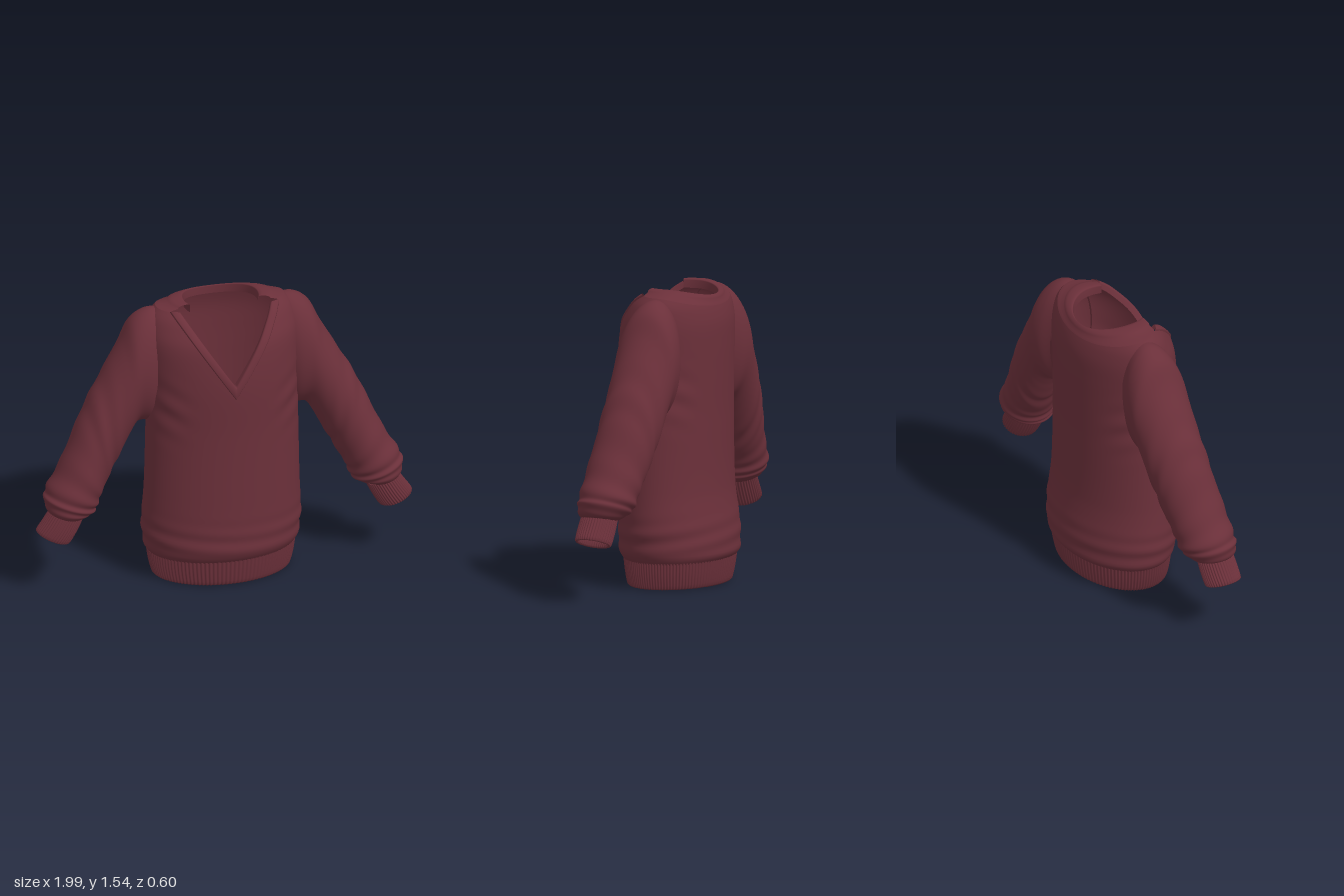
import * as THREE from 'three';
import { mergeVertices } from 'three/addons/utils/BufferGeometryUtils.js';

const TAU = Math.PI * 2;
const bell = (x, c, w) => Math.exp(-(((x - c) / w) ** 2));

// Smooth interpolation of table rows [t, a, b, c, ...]
function sample(rows, t) {
  const n = rows.length - 1;
  t = Math.min(Math.max(t, rows[0][0]), rows[n][0]);
  let i = 0;
  while (i < n - 1 && t > rows[i + 1][0]) i++;
  const p = rows[i], q = rows[i + 1], o = rows[Math.max(i - 1, 0)], r = rows[Math.min(i + 2, n)];
  const h = q[0] - p[0], s = (t - p[0]) / h;
  return p.slice(1).map((a, j) => {
    const k = j + 1, b = q[k];
    const ma = (b - o[k]) / (q[0] - o[0]) * h, mb = (r[k] - a) / (r[0] - p[0]) * h;
    return a + s * ma + s * s * (3 * (b - a) - 2 * ma - mb) + s * s * s * (2 * (a - b) + ma + mb);
  });
}

// Smooth surface from point(u, v), both 0..1
function grid(nu, nv, point, flip = false) {
  const pos = [], index = [];
  for (let j = 0; j <= nv; j++)
    for (let i = 0; i <= nu; i++) pos.push(...point(i / nu, j / nv));
  for (let j = 0; j < nv; j++)
    for (let i = 0; i < nu; i++) {
      const a = j * (nu + 1) + i, b = a + 1, c = a + nu + 1, d = c + 1;
      if (flip) index.push(a, b, c, b, d, c);
      else index.push(a, c, b, b, c, d);
    }
  let geo = new THREE.BufferGeometry();
  geo.setAttribute('position', new THREE.Float32BufferAttribute(pos, 3));
  geo.setIndex(index);
  geo = mergeVertices(geo, 1e-5);
  geo.computeVertexNormals();
  return geo;
}

// Torso sections: height, half width, front z, back z
const TORSO = [
  [0.13, 0.383, 0.25, -0.265], [0.16, 0.403, 0.272, -0.288], [0.2, 0.41, 0.283, -0.29],
  [0.3, 0.418, 0.283, -0.285], [0.5, 0.408, 0.283, -0.258], [0.85, 0.4, 0.285, -0.252],
  [1.1, 0.395, 0.293, -0.256], [1.25, 0.4, 0.284, -0.258], [1.36, 0.4, 0.262, -0.255],
  [1.44, 0.385, 0.215, -0.238], [1.48, 0.367, 0.184, -0.22], [1.51, 0.34, 0.149, -0.2],
];
const TOP = 1.51, V_TIP = 1.08, V_HALF = 0.29;

function torsoPoint(a, y) {
  const [w, f, b] = sample(TORSO, y);
  const c = Math.cos(a), s = Math.sin(a);
  const fold = 0.012 * Math.sin(y * 62 + 2.2 * c + 1.5 * s) * bell(y, 0.25, 0.09)
    + 0.012 * Math.sin(y * 45 - 9 * Math.abs(c)) * bell(y, 1.0, 0.14) * bell(Math.abs(c), 0.8, 0.2);
  const k = 1 + fold;
  return [w * c * k, y, (f + b) / 2 + (f - b) / 2 * s * k];
}
function frontZ(x, y) {
  const [w, f, b] = sample(TORSO, y);
  return (f + b) / 2 + (f - b) / 2 * Math.sqrt(Math.max(0, 1 - (x / w) ** 2));
}
// Height where the torso ends: the V in front, a shallow scoop behind
function neckHeight(a) {
  const s = Math.sin(a), c = Math.abs(Math.cos(a));
  if (s < 0) return TOP - 0.06 * s * s;
  const outside = (y) => sample(TORSO, y)[0] * c > V_HALF * (y - V_TIP) / (TOP - V_TIP);
  if (outside(TOP)) return TOP;
  let lo = V_TIP, hi = TOP;
  for (let i = 0; i < 24; i++) {
    const m = (lo + hi) / 2;
    if (outside(m)) lo = m; else hi = m;
  }
  return lo;
}

// Sleeve sections: t, upper x, upper y, lower x, lower y, centre z, half depth
const SLEEVE = [
  [0, 0.30, 1.5, 0.35, 0.9, -0.03, 0.13], [1, 0.39, 1.5, 0.39, 0.88, -0.03, 0.16],
  [2, 0.47, 1.447, 0.45, 0.875, -0.03, 0.167], [3, 0.53, 1.33, 0.495, 0.81, -0.025, 0.163],
  [4, 0.61, 1.19, 0.535, 0.73, -0.02, 0.16], [5, 0.69, 1.05, 0.58, 0.65, -0.01, 0.155],
  [6, 0.755, 0.92, 0.615, 0.58, 0, 0.152], [7, 0.84, 0.73, 0.65, 0.52, 0.02, 0.15],
  [8, 0.925, 0.58, 0.67, 0.47, 0.03, 0.148], [9, 0.95, 0.52, 0.69, 0.435, 0.04, 0.138],
  [10, 0.94, 0.46, 0.73, 0.42, 0.052, 0.115], [11, 0.918, 0.44, 0.772, 0.405, 0.058, 0.088],
];
// Cuff sections, turning inside at the wrist
const CUFF = [
  [0, 0.92, 0.455, 0.755, 0.405, 0.058, 0.094], [1, 0.96, 0.395, 0.79, 0.335, 0.06, 0.096],
  [2, 0.995, 0.345, 0.826, 0.277, 0.06, 0.092], [2.3, 0.99, 0.338, 0.838, 0.275, 0.06, 0.085],
  [2.6, 0.978, 0.347, 0.838, 0.288, 0.06, 0.078], [4, 0.925, 0.425, 0.785, 0.38, 0.058, 0.075],
];
function armPoint(rows, t, a, side, k) {
  const [tx, ty, bx, by, z, r] = sample(rows, t);
  const c = Math.cos(a) * k / 2;
  return [side * ((tx + bx) / 2 + (tx - bx) * c), (ty + by) / 2 + (ty - by) * c, z + r * Math.sin(a) * k];
}
const rib = (u, n) => Math.abs(Math.sin(u * n * Math.PI)) - 0.5;

// Hem sections, turning inside at the bottom: t, half width, y, front z, back z
const HEM = [
  [0, 0.388, 0.14, 0.256, -0.27], [1, 0.378, 0.07, 0.248, -0.26], [2, 0.362, 0.008, 0.238, -0.247],
  [2.3, 0.355, 0, 0.231, -0.24], [2.6, 0.347, 0.008, 0.223, -0.232], [4, 0.368, 0.14, 0.238, -0.25],
];

// Raised trim profiles: fraction across, raise
const V_TRIM = [[0, -0.004], [0.05, 0.008], [0.12, 0.012], [0.5, 0.014], [0.85, 0.012], [0.97, 0.007], [1, 0], [1, -0.03]];
const COLLAR = [[0, 0], [0.15, 0.003], [0.4, 0.003], [0.46, 0.011], [0.6, 0.014], [0.85, 0.012], [0.97, 0.006], [1, 0], [1.01, -0.04]];

export function createModel() {
  const group = new THREE.Group();
  group.name = 'sweater';
  const wool = new THREE.MeshStandardMaterial({ color: 0x6b303a, side: THREE.DoubleSide });
  wool.name = 'burgundy wool';
  const add = (name, geo) => {
    const mesh = new THREE.Mesh(geo, wool);
    mesh.name = name;
    group.add(mesh);
  };

  add('torso', grid(160, 90, (u, v) => {
    const a = u * TAU;
    return torsoPoint(a, 0.13 + v * (neckHeight(a) - 0.13));
  }));

  add('ribbedHem', grid(540, 14, (u, v) => {
    const [w, y, f, b] = sample(HEM, 4 * (1 - v));
    const a = u * TAU, k = 1 + 0.022 * rib(u, 108);
    return [w * Math.cos(a) * k, y, (f + b) / 2 + (f - b) / 2 * Math.sin(a) * k];
  }, true));

  // V trim following the front surface from shoulder to shoulder
  add('vNeckTrim', grid(80, V_TRIM.length - 1, (u, v) => {
    const s = u * 2 - 1, m = Math.abs(s);
    const [frac, raise] = V_TRIM[Math.round(v * (V_TRIM.length - 1))];
    const x = s * (V_HALF - 0.05 * frac);
    const y = V_TIP + 0.43 * m + 0.07 * frac * (1 - m);
    return [x, y + raise * 0.6 * m, frontZ(x, y) * (1 - 0.1 * m * frac) + raise * (1 - 0.4 * m)];
  }, true));

  // Collar band over the shoulders and round the back
  const edge = Math.acos(V_HALF / sample(TORSO, TOP)[0]);
  add('backCollar', grid(110, COLLAR.length - 1, (u, v) => {
    const s = u * 2 - 1;
    const a = -Math.PI / 2 + s * (Math.PI / 2 + edge);
    const p = -Math.PI / 2 + s * (Math.PI / 2 + 0.38);
    const [frac, raise] = COLLAR[Math.round(v * (COLLAR.length - 1))];
    const o = torsoPoint(a, neckHeight(a)), back = Math.max(0, -Math.sin(p));
    const q = [0.195 * Math.cos(p), 1.532 - 0.035 * back * back, -0.01 + 0.19 * Math.sin(p)];
    return o.map((c, i) => c + (q[i] - c) * frac + (i === 1 ? raise : 0));
  }));

  for (const side of [1, -1]) {
    const name = side > 0 ? 'left' : 'right';
    add(name + 'Sleeve', grid(64, 110, (u, v) => {
      const t = v * 11, a = u * TAU;
      const fold = 0.035 * Math.sin(t * 6.5 + 1.3 * Math.sin(a)) * bell(t, 8.3, 1.5)
        + 0.02 * Math.sin(t * 5 + 2 * Math.cos(a)) * bell(t, 5, 1.1);
      return armPoint(SLEEVE, t, a, side, 1 + fold);
    }, side > 0));
    add(name + 'Cuff', grid(200, 14, (u, v) =>
      armPoint(CUFF, v * 4, u * TAU, side, 1 + 0.06 * rib(u, 40)), side > 0));
  }
  return group;
}
